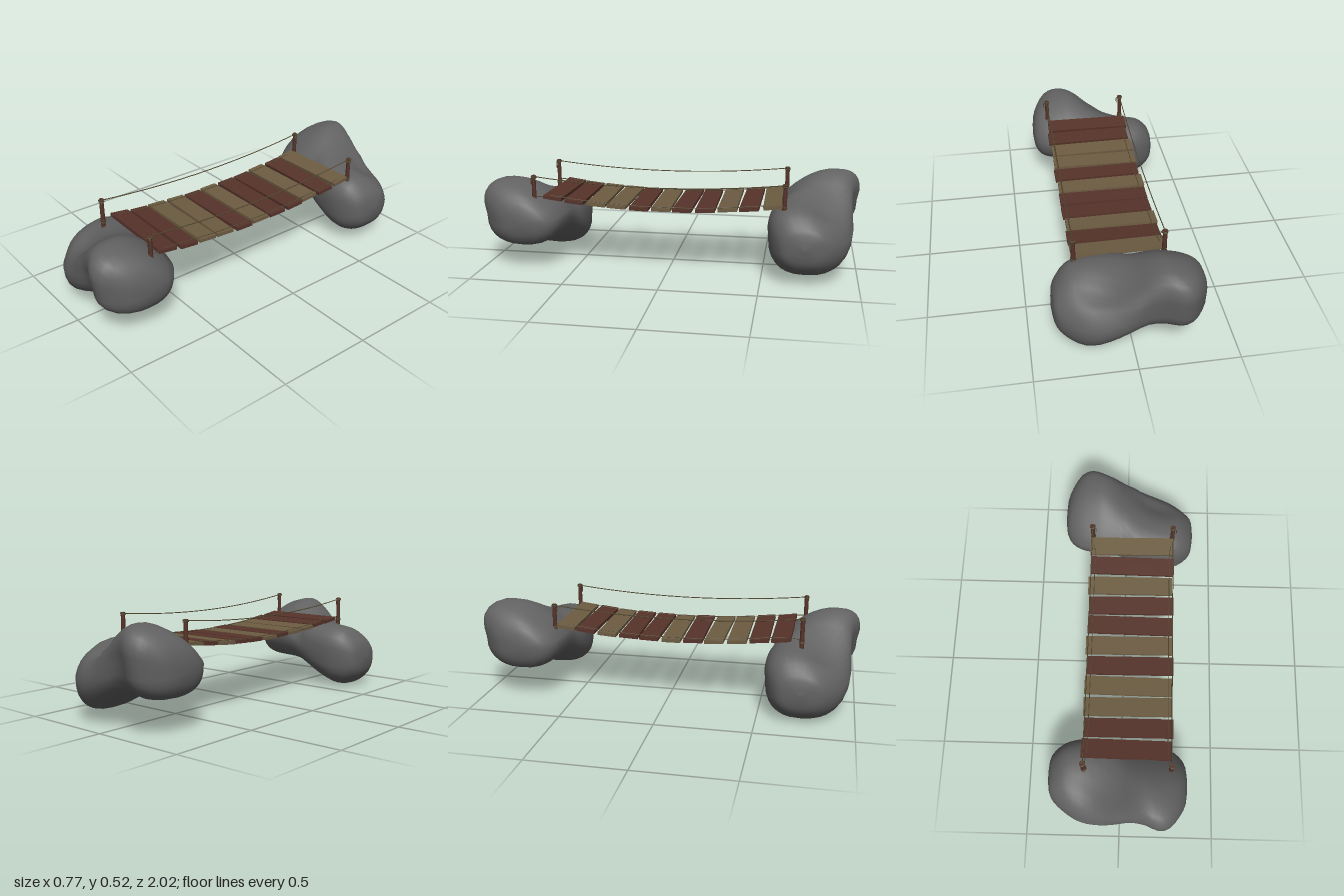
import * as THREE from 'three';
import { mergeVertices } from 'three/addons/utils/BufferGeometryUtils.js';

const mat = (color) => new THREE.MeshStandardMaterial({ color });
const rockMat = mat(0x626262), brown = mat(0x56332a), tan = mat(0x6d5c42), ropeMat = mat(0x544a32);

const postX = [-0.187, 0.258], postZ = [0.71, -0.612];
const deckMid = 0.033;
// Height and slope of the sagging deck
const deckY = (z) => 0.354 + 0.04 * ((z - 0.02) / 0.6) ** 2;
const deckSlope = (z) => 0.08 * (z - 0.02) / 0.36;

function add(parent, name, geometry, material, x = 0, y = 0, z = 0) {
  const mesh = new THREE.Mesh(geometry, material);
  mesh.name = name;
  mesh.position.set(x, y, z);
  parent.add(mesh);
  return mesh;
}

// Two-lobed boulder lofted along x: [x, bottom, top, inner z, outer z, lean of the top]
function boulderGeometry() {
  const stations = [
    [-0.385, 0.17, 0.17, 0.72, 0.72, 0],
    [-0.375, 0.10, 0.245, 0.63, 0.80, 0],
    [-0.35, 0.055, 0.29, 0.59, 0.85, -0.02],
    [-0.30, 0.015, 0.34, 0.555, 0.895, -0.04],
    [-0.24, 0.002, 0.358, 0.535, 0.935, -0.05],
    [-0.17, 0.02, 0.366, 0.53, 0.96, -0.05],
    [-0.08, 0.065, 0.38, 0.535, 0.97, -0.02],
    [0.0, 0.105, 0.41, 0.55, 0.965, 0.04],
    [0.06, 0.122, 0.45, 0.555, 0.96, 0.08],
    [0.13, 0.125, 0.48, 0.56, 0.97, 0.1],
    [0.20, 0.125, 0.472, 0.57, 0.997, 0.1],
    [0.26, 0.13, 0.45, 0.585, 0.98, 0.09],
    [0.31, 0.15, 0.405, 0.62, 0.92, 0.06],
    [0.34, 0.2, 0.345, 0.67, 0.86, 0.03],
    [0.35, 0.27, 0.27, 0.76, 0.76, 0],
  ];
  const smooth = (k) => new THREE.CatmullRomCurve3(
    stations.map((s) => new THREE.Vector3(s[k[0]], s[k[1]], s[k[2]])), false, 'catmullrom');
  const heights = smooth([0, 1, 2]), depths = smooth([3, 4, 5]);
  const steps = (stations.length - 1) * 2, sides = 28, points = [], index = [];
  const soft = (v) => Math.sign(v) * Math.abs(v) ** 0.8;
  for (let i = 0; i <= steps; i++) {
    const { x, y: y0, z: y1 } = heights.getPoint(i / steps);
    const { x: z0, y: z1, z: lean } = depths.getPoint(i / steps);
    for (let j = 0; j < sides; j++) {
      const t = j / sides * Math.PI * 2, c = soft(Math.cos(t)), s = soft(Math.sin(t)), up = Math.max(s, 0);
      // Only the upper half narrows and leans
      const z = (z0 + z1) / 2 + ((z1 - z0) / 2 - 0.5 * Math.abs(lean) * up) * c + lean * up;
      // Hollow running diagonally between the lobes
      const hollow = 0.055 * up * Math.exp(-(((x + 0.15) / 0.14) ** 2) - ((z - 0.84 - 0.25 * (x + 0.15)) / 0.075) ** 2);
      points.push(x, (y0 + y1) / 2 + (y1 - y0) / 2 * s - hollow, z);
      if (i < steps) {
        const a = i * sides + j, b = a + sides;
        const c2 = i * sides + (j + 1) % sides, d = c2 + sides;
        index.push(a, b, c2, b, d, c2);
      }
    }
  }
  let g = new THREE.BufferGeometry();
  g.setAttribute('position', new THREE.Float32BufferAttribute(points, 3));
  g.setIndex(index);
  g = mergeVertices(g);
  g.computeVertexNormals();
  return g;
}

export function createModel() {
  const group = new THREE.Group();

  // Boulders at both ends, the same rock turned around
  const rock = boulderGeometry();
  add(group, 'frontBoulder', rock, rockMat);
  add(group, 'backBoulder', rock, rockMat, 0, 0.04, 0).rotation.y = Math.PI;

  // Planks, each slightly askew
  const isTan = [1, 0, 1, 0, 0, 1, 0, 1, 1, 0, 0];
  const plank = new THREE.BoxGeometry(0.465, 0.018, 0.1);
  isTan.forEach((light, i) => {
    const z = -0.552 + i * 0.116;
    const m = add(group, 'plank' + (i + 1), plank, light ? tan : brown, deckMid + 0.005 * Math.sin(i * 2.3), deckY(z), z);
    m.rotation.set(-Math.atan(deckSlope(z)), 0.015 * Math.sin(i * 4.1 + 1), 0);
  });

  // Posts with rope bindings
  const postGeo = new THREE.CylinderGeometry(0.011, 0.012, 0.165, 10);
  const ring = new THREE.TorusGeometry(0.0125, 0.003, 6, 14);
  const tail = new THREE.TubeGeometry(new THREE.CatmullRomCurve3([
    new THREE.Vector3(0.01, 0, 0.008), new THREE.Vector3(0.019, -0.012, 0.009), new THREE.Vector3(0.017, -0.038, 0.008),
  ]), 8, 0.0025, 5);
  for (const x of postX) for (const z of postZ) {
    const post = new THREE.Group();
    post.name = 'post';
    post.position.set(x, 0, z);
    group.add(post);
    add(post, 'postShaft', postGeo, brown, 0, 0.4325, 0);
    for (const [y, tilt] of [[0.509, 0.1], [0.502, -0.15], [0.392, 0.25], [0.382, -0.1]]) {
      add(post, 'binding', ring, ropeMat, 0, y, 0).rotation.set(Math.PI / 2, tilt, 0);
    }
    add(post, 'ropeTail', tail, ropeMat, 0, 0.504, 0);
  }

  // Hand ropes and the ropes lying along the deck
  postX.forEach((x, i) => {
    const rail = new THREE.QuadraticBezierCurve3(
      new THREE.Vector3(x, 0.508, postZ[0]), new THREE.Vector3(x, 0.432, 0.05), new THREE.Vector3(x, 0.508, postZ[1]));
    add(group, 'handRope', new THREE.TubeGeometry(rail, 32, 0.0026, 6), ropeMat);
    const inner = x + (i ? -0.015 : 0.015), path = [];
    for (let k = 0; k <= 12; k++) {
      const z = THREE.MathUtils.lerp(postZ[0], postZ[1], k / 12);
      path.push(new THREE.Vector3(k % 12 ? inner : x, Math.min(deckY(z) + 0.01, 0.402), z));
    }
    add(group, 'deckRope', new THREE.TubeGeometry(new THREE.CatmullRomCurve3(path), 48, 0.0022, 6), ropeMat);
  });

  return group;
}
